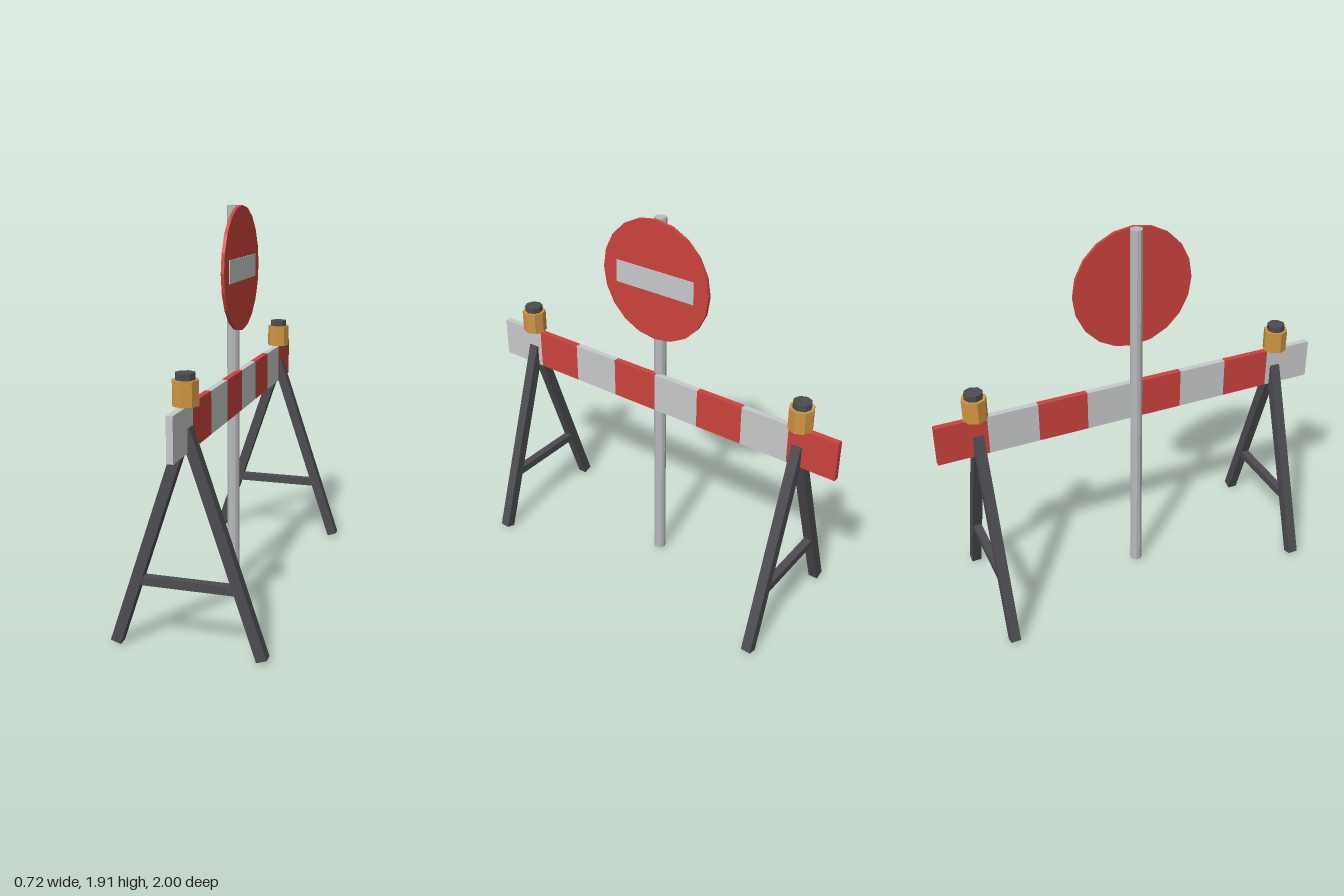
import * as THREE from 'three';

export function createModel() {
  const model = new THREE.Group();
  model.name = 'roadBarrier';

  const material = (name, color) => {
    const m = new THREE.MeshStandardMaterial({ color, flatShading: true });
    m.name = name;
    return m;
  };
  const red = material('signalRed', 0xcb433c);
  const white = material('offWhite', 0xc6c9ca);
  const steel = material('poleGrey', 0xb8bbbd);
  const dark = material('darkMetal', 0x4c4c51);
  const amber = material('amberLamp', 0xd09543);

  const add = (parent, name, geometry, mat, x, y, z) => {
    const mesh = new THREE.Mesh(geometry, mat);
    mesh.name = name;
    mesh.position.set(x, y, z);
    parent.add(mesh);
    return mesh;
  };

  // Striped board running along z
  const board = new THREE.Group();
  board.name = 'board';
  model.add(board);
  for (let i = 0; i < 8; i++) {
    add(board, i % 2 ? 'redStripe' : 'whiteStripe',
      new THREE.BoxGeometry(0.03, 0.2, 0.25), i % 2 ? red : white,
      0, 1.015, 0.875 - i * 0.25);
  }

  // Pole behind the board
  add(model, 'pole', new THREE.CylinderGeometry(0.03, 0.03, 1.9, 10), steel, -0.031, 0.965, 0);

  // Round sign with its horizontal bar, facing +x
  const disc = new THREE.CylinderGeometry(0.3, 0.3, 0.016, 20).rotateZ(-Math.PI / 2);
  add(model, 'signDisc', disc, red, 0.007, 1.615, 0);
  add(model, 'signBar', new THREE.BoxGeometry(0.006, 0.11, 0.44), white, 0.017, 1.615, 0);

  // A-frame stand and warning lamp near each end
  const foot = new THREE.Vector2(0.338, 0.008);
  const apex = new THREE.Vector2(0, 1.017);
  const length = foot.distanceTo(apex);
  const tilt = Math.atan2(foot.x - apex.x, apex.y - foot.y);
  for (const z of [0.8, -0.8]) {
    const stand = new THREE.Group();
    stand.name = 'stand';
    stand.position.z = z;
    model.add(stand);
    for (const side of [1, -1]) {
      const leg = add(stand, 'leg', new THREE.BoxGeometry(0.05, length, 0.05), dark,
        side * (foot.x + apex.x) / 2, (foot.y + apex.y) / 2, 0);
      leg.rotation.z = side * tilt;
    }
    add(stand, 'crossbar', new THREE.BoxGeometry(0.43, 0.04, 0.04), dark, 0, 0.314, 0);
    add(stand, 'lamp', new THREE.CylinderGeometry(0.06, 0.06, 0.11, 8), amber, 0, 1.17, 0);
    add(stand, 'lampCap', new THREE.CylinderGeometry(0.045, 0.045, 0.03, 8), dark, 0, 1.24, 0);
  }

  return model;
}
